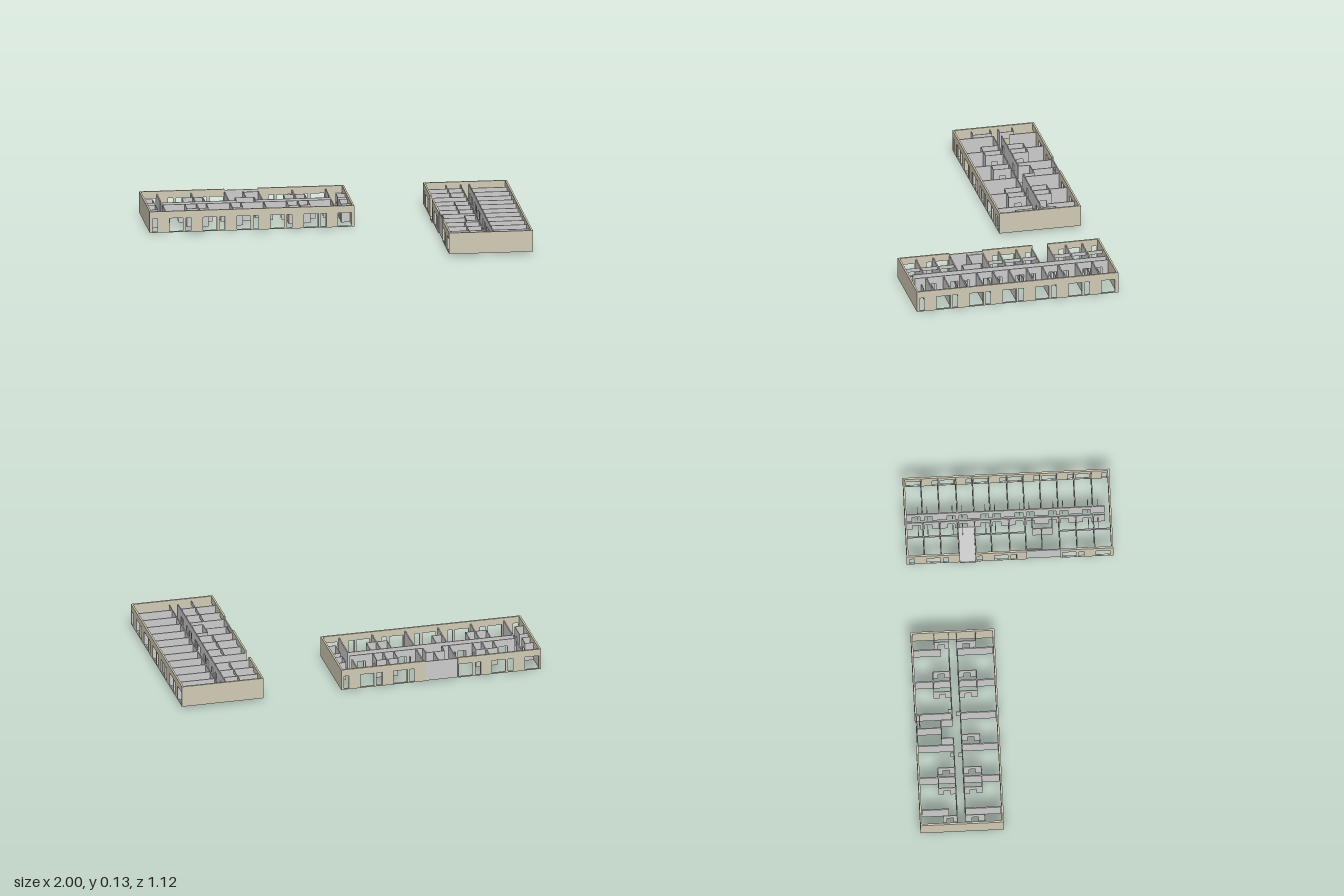
import * as THREE from 'three';

const Y0 = 0.0125, TOP = 0.13, INNER = 0.115, DOOR = 0.063;
const tan = new THREE.MeshStandardMaterial({ color: 0xd0c9b4 });
const grey = new THREE.MeshStandardMaterial({ color: 0xcccccc });

// Straight wall from (x0,z0) to (x1,z1) along one axis, centred on that line.
// openings: [start, end, sill, head] in world axis coordinates, heights above the base.
function wall(parent, name, x0, z0, x1, z1, t, top = INNER, openings = [], mat = grey) {
  const alongX = Math.abs(x1 - x0) > Math.abs(z1 - z0);
  const [a, b] = alongX ? [Math.min(x0, x1), Math.max(x0, x1)] : [Math.min(z0, z1), Math.max(z0, z1)];
  const h = top - Y0;
  const s = new THREE.Shape();
  s.moveTo(a, 0);
  for (const [p, q, sill, head] of [...openings].sort((m, n) => m[0] - n[0])) {
    if (sill === 0) {
      s.lineTo(p, 0); s.lineTo(p, head); s.lineTo(q, head); s.lineTo(q, 0);
    } else {
      const hole = new THREE.Path();
      hole.moveTo(p, sill); hole.lineTo(p, head); hole.lineTo(q, head); hole.lineTo(q, sill);
      hole.closePath();
      s.holes.push(hole);
    }
  }
  s.lineTo(b, 0); s.lineTo(b, h); s.lineTo(a, h);
  s.closePath();
  const g = new THREE.ExtrudeGeometry(s, { depth: t, bevelEnabled: false });
  g.translate(0, Y0, -t / 2);
  if (!alongX) g.rotateY(-Math.PI / 2);
  const m = new THREE.Mesh(g, mat);
  m.name = name;
  m.position.set(alongX ? 0 : x0, 0, alongX ? z0 : 0);
  parent.add(m);
}

const door = (c, w = 0.045) => [c - w / 2, c + w / 2, 0, DOOR];
const sill = 0.003, head = 0.08;

// Alternating narrow and wide windows; position = origin + dir * offset
function windows(origin, dir) {
  const list = [];
  for (let i = 0; i < 6; i++) {
    for (const [o, w] of [[0.0125, 0.033], [0.106, 0.079]]) {
      const p = origin + dir * (o + i * 0.183), q = p + dir * w;
      list.push([Math.min(p, q), Math.max(p, q), sill, head]);
    }
  }
  return list;
}
const within = (list, a, b) => list.filter(w => w[0] > a && w[1] < b);

// Thin frames lining each window of a wall
function frames(parent, list, fixed, alongX) {
  const t = 0.0025, d = 0.005, h = head - sill;
  for (const [p, q] of list) {
    const bars = [[p + t / 2, h / 2, t, h], [q - t / 2, h / 2, t, h],
      [(p + q) / 2, t / 2, q - p, t], [(p + q) / 2, h - t / 2, q - p, t]];
    for (const [c, y, w, hh] of bars) {
      const m = new THREE.Mesh(new THREE.BoxGeometry(alongX ? w : d, hh, alongX ? d : w), grey);
      m.name = 'windowFrame';
      m.position.set(alongX ? c : fixed, Y0 + sill + y, alongX ? fixed : c);
      parent.add(m);
    }
  }
}

// Outer wall pieces with their windows
function facade(parent, name, fixed, alongX, pieces, list) {
  for (const [a, b] of pieces) {
    const ws = within(list, a, b);
    if (alongX) wall(parent, name, a, fixed, b, fixed, 0.01, TOP, ws, tan);
    else wall(parent, name, fixed, a, fixed, b, 0.01, TOP, ws, tan);
    frames(parent, ws, fixed, alongX);
  }
}

function wideBlock() {
  const g = new THREE.Group();
  g.name = 'wideBlock';
  const x0 = -1, x1 = 0.113, z0 = -0.56, z1 = -0.108, cN = -0.358, cS = -0.313;
  // outer walls
  facade(g, 'frontWall', z1 - 0.005, true, [[x0, x1]], windows(x0, 1));
  facade(g, 'backWall', z0 + 0.005, true, [[x0, -0.537], [-0.355, x1]], windows(x1, -1));
  for (const x of [x0 + 0.005, x1 - 0.005]) wall(g, 'endWall', x, z0 + 0.01, x, z1 - 0.01, 0.01, TOP, [], tan);
  // corridor
  const doors = [-0.84, -0.61, -0.28, -0.05].map(c => door(c));
  wall(g, 'corridorWall', -0.905, cN, -0.497, cN, 0.005, INNER, doors.slice(0, 2));
  wall(g, 'corridorWall', -0.393, cN, 0.015, cN, 0.005, INNER, doors.slice(2));
  wall(g, 'corridorWall', -0.905, cS, 0.015, cS, 0.005, INNER, [...doors, door(-0.4)]);
  // room partitions
  for (const x of [-0.905, -0.72, -0.537, -0.355, -0.17, 0.013]) {
    const end = x === -0.905 || x === 0.013;
    wall(g, 'partition', x, z0 + 0.012, x, end ? -0.4 : cN, 0.006);
    wall(g, 'partition', x, cS, x, z1 - 0.012, 0.006);
  }
  // bathrooms on both sides of the corridor
  for (const x of [-0.725, -0.172]) {
    for (const [za, zb] of [[cN, -0.45], [cS, -0.215]]) {
      wall(g, 'bathroomWall', x - 0.058, zb, x + 0.058, zb, 0.003);
      for (const s of [-1, 1])
        wall(g, 'bathroomWall', x + s * 0.058, za, x + s * 0.058, zb, 0.003, INNER, [door((za + zb) / 2, 0.035)]);
    }
  }
  wall(g, 'bathroomWall', -0.537, -0.215, -0.48, -0.215, 0.003);
  wall(g, 'bathroomWall', -0.48, cS, -0.48, -0.215, 0.003, INNER, [door(-0.264, 0.035)]);
  // end room bathrooms
  for (const [xa, xb] of [[x0 + 0.01, -0.943], [x1 - 0.01, 0.055]]) {
    for (const [za, zb] of [[-0.435, cN], [cS, -0.21]]) {
      wall(g, 'bathroomWall', xa, za, xb, za, 0.003);
      wall(g, 'bathroomWall', xa, zb, xb, zb, 0.003);
      wall(g, 'bathroomWall', xb, za, xb, zb, 0.003, INNER, [door((za + zb) / 2, 0.035)]);
    }
  }
  // stair core
  wall(g, 'stairOuterWall', -0.537, z0 + 0.008, -0.355, z0 + 0.008, 0.006, 0.125);
  wall(g, 'stairDivider', -0.437, z0 + 0.012, -0.437, -0.42, 0.004);
  wall(g, 'stairLandingWall', -0.497, -0.42, -0.393, -0.42, 0.004);
  wall(g, 'stairBackWall', -0.437, -0.535, -0.355, -0.535, 0.004);
  for (const x of [-0.497, -0.393]) wall(g, 'stairLandingWall', x, -0.42, x, cN, 0.004);
  // open door leaves in the corridor
  for (const x of [-0.57, -0.32]) wall(g, 'doorLeaf', x, -0.378, x, cN, 0.003, Y0 + DOOR);
  for (const x of [-0.57, -0.335]) wall(g, 'doorLeaf', x, cS, x, -0.335, 0.003, Y0 + DOOR);
  return g;
}

function longBlock() {
  const g = new THREE.Group();
  g.name = 'longBlock';
  const x0 = 0.545, x1 = 1, z0 = -0.56, z1 = 0.556, cW = 0.746, cE = 0.794;
  // outer walls
  facade(g, 'sideWallLeft', x1 - 0.005, false, [[z0, z1]], windows(z1, -1));
  facade(g, 'sideWallRight', x0 + 0.005, false, [[z0, -0.272], [-0.188, 0.089], [0.272, z1]], windows(z0, 1));
  for (const z of [z0 + 0.005, z1 - 0.005]) wall(g, 'endWall', x0 + 0.01, z, x1 - 0.01, z, 0.01, TOP, [], tan);
  // corridor with a door to every room
  const lines = [-0.463, -0.372, -0.275, -0.185, -0.098, 0, 0.088, 0.178, 0.27, 0.362, 0.457];
  const bays = [z0, ...lines, z1];
  const doors = bays.slice(0, -1).map((z, i) => door((z + bays[i + 1]) / 2 + (i % 2 ? -0.014 : 0.014), 0.042));
  wall(g, 'corridorWall', cW, z0 + 0.01, cW, 0.52, 0.005, INNER, doors.slice(0, -1));
  wall(g, 'corridorWall', cE, z0 + 0.01, cE, 0.52, 0.005, INNER, doors.slice(0, -1));
  // room partitions
  lines.forEach((z, i) => {
    wall(g, 'partition', cE, z, x1 - 0.01, z, 0.006);
    if (i !== 7) wall(g, 'partition', x0 + 0.008, z, cW, z, 0.006);
    // small closets beside every second partition
    if (i % 2 === 0) {
      for (const s of [-1, 1]) {
        wall(g, 'closetWall', cE, z + s * 0.026, 0.85, z + s * 0.026, 0.003, Y0 + DOOR);
        if (z < 0.08 || z > 0.3) wall(g, 'closetWall', 0.7, z + s * 0.026, cW, z + s * 0.026, 0.003, Y0 + DOOR);
      }
    }
  });
  // ceiling beams across the right-hand rooms
  for (const [a, b] of [[z0 + 0.01, -0.275], [-0.185, 0.088], [0.27, z1 - 0.01]]) {
    const beam = new THREE.Mesh(new THREE.BoxGeometry(0.003, 0.02, b - a), grey);
    beam.name = 'ceilingBeam';
    beam.position.set(0.666, INNER - 0.01, (a + b) / 2);
    g.add(beam);
  }
  // stair core
  wall(g, 'stairOuterWall', x0 + 0.008, 0.09, x0 + 0.008, 0.27, 0.006, 0.125);
  wall(g, 'stairDivider', x0 + 0.01, 0.174, 0.682, 0.174, 0.004);
  wall(g, 'stairBackWall', 0.565, 0.09, 0.565, 0.174, 0.004);
  wall(g, 'stairLandingWall', 0.682, 0.126, 0.682, 0.233, 0.004);
  for (const z of [0.126, 0.233]) wall(g, 'stairLandingWall', 0.682, z, cW, z, 0.004);
  // entrance slab
  const slab = new THREE.Mesh(new THREE.BoxGeometry(0.2, 0.013, 0.086), grey);
  slab.name = 'entranceSlab';
  slab.position.set(0.645, 0.0065, -0.23);
  g.add(slab);
  return g;
}

export function createModel() {
  const model = new THREE.Group();
  model.name = 'twoBuildingComplex';
  model.add(wideBlock(), longBlock());
  return model;
}
